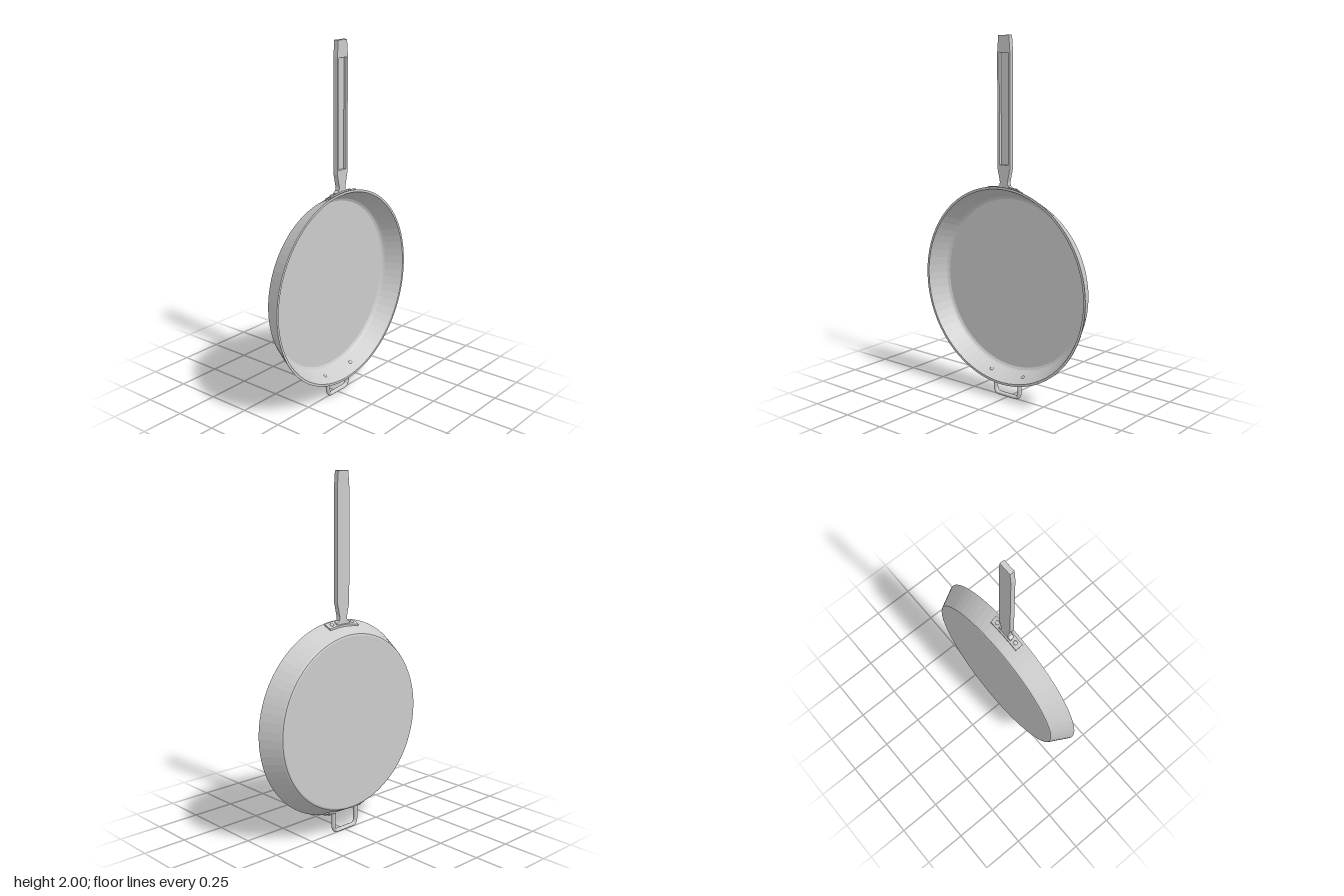
import * as THREE from 'three';

const CY = 0.645;                       // height of the pan centre
const wallR = (z) => 0.527 + 0.5 * z;   // outer wall radius at depth z

export function createModel() {
  const group = new THREE.Group();
  const mat = new THREE.MeshStandardMaterial({ color: 0xcccccc });
  const flat = new THREE.MeshStandardMaterial({ color: 0xcccccc, flatShading: true });
  const add = (name, geo, m = flat) => {
    const mesh = new THREE.Mesh(geo, m);
    mesh.name = name;
    group.add(mesh);
    return mesh;
  };

  // Pan body: outer wall, rim, inner wall and floor, turned to face +z
  const profile = [
    [0, -0.062], [0.484, -0.062], [0.493, -0.059], [0.499, -0.051], [0.556, 0.058], [0.556, 0.061],
    [0.543, 0.061], [0.496, -0.03], [0.489, -0.04], [0.476, -0.047], [0, -0.047],
  ].map(([r, z]) => new THREE.Vector2(r, z));
  const pan = add('panBody', new THREE.LatheGeometry(profile, 72));
  pan.rotation.x = Math.PI / 2;
  pan.position.y = CY;

  // Plate bent around the sloping wall; side is 1 at the top, -1 at the bottom
  const wallPlate = (name, side, x0, z0, w, d, t) => {
    const geo = new THREE.BoxGeometry(w, t, d, 10, 1, 2);
    const p = geo.attributes.position;
    for (let i = 0; i < p.count; i++) {
      const z = z0 + p.getZ(i), r = wallR(z) + p.getY(i) + t / 2 - 0.003;
      const a = (x0 + p.getX(i)) / 0.54;
      p.setXYZ(i, r * Math.sin(a), r * Math.cos(a), z);
    }
    geo.computeVertexNormals();
    const plate = add(name, geo);
    plate.position.y = CY;
    if (side < 0) plate.rotation.z = Math.PI;
  };

  // Domed rivet head standing square to the wall
  const rivet = (name, side, x, z, lift, radius) => {
    const a = x / 0.54, r = wallR(z) + lift;
    const head = add(name, new THREE.SphereGeometry(radius, 16, 10), mat);
    head.scale.y = 0.6;
    head.position.set(r * Math.sin(a), CY + side * r * Math.cos(a), z);
    head.quaternion.setFromUnitVectors(
      new THREE.Vector3(0, 1, 0),
      new THREE.Vector3(Math.sin(a), side * Math.cos(a), -0.5).normalize());
  };

  // Mounting plates and rivets
  wallPlate('handlePlate', 1, 0, 0.024, 0.21, 0.042, 0.012);
  for (const s of [-1, 1]) {
    rivet('handleRivet', 1, s * 0.073, 0.024, 0.009, 0.012);
    wallPlate('loopPlate', -1, s * 0.113, 0.004, 0.056, 0.04, 0.012);
    rivet('loopRivet', -1, s * 0.119, 0.004, 0.009, 0.011);
    rivet('innerRivet', -1, s * 0.119, 0.008, -0.015, 0.011);
  }

  // Long handle with a flared foot and a recess in the front
  const half = [
    [0.046, 1.184], [0.044, 1.192], [0.026, 1.204], [0.023, 1.225],
    [0.04, 1.3], [0.04, 1.912], [0.033, 1.996],
  ];
  const outline = [...half, ...half.map(([x, y]) => [-x, y]).reverse()];
  const toPoints = (list) => list.map(([x, y]) => new THREE.Vector2(x, y));
  const shape = new THREE.Shape(toPoints(outline));
  const [hx, y0, y1] = [0.032, 1.314, 1.912];
  shape.holes.push(new THREE.Path(toPoints([[-hx, y0], [-hx, y1], [hx, y1], [hx, y0]])));
  const bevel = 0.004;
  const handleGeo = new THREE.ExtrudeGeometry(shape, {
    depth: 0.021, bevelEnabled: true, bevelThickness: bevel, bevelSize: bevel, bevelSegments: 2,
  });
  add('handle', handleGeo).position.z = 0.0145;

  // Floor closing the back of the recess
  add('handleRecessFloor', new THREE.BoxGeometry(2 * hx, y1 - y0, 0.013))
    .position.set(0, (y0 + y1) / 2, 0.017);

  // Helper loop: rounded U of bar
  const v = (x, y) => new THREE.Vector3(x, y, 0);
  const path = new THREE.CurvePath();
  path.add(new THREE.LineCurve3(v(-0.085, 0.128), v(-0.085, 0.045)));
  path.add(new THREE.QuadraticBezierCurve3(v(-0.085, 0.045), v(-0.082, 0.011), v(-0.06, 0.011)));
  path.add(new THREE.LineCurve3(v(-0.06, 0.011), v(0.06, 0.011)));
  path.add(new THREE.QuadraticBezierCurve3(v(0.06, 0.011), v(0.082, 0.011), v(0.085, 0.045)));
  path.add(new THREE.LineCurve3(v(0.085, 0.045), v(0.085, 0.128)));
  const loop = add('helperLoop', new THREE.TubeGeometry(path, 60, 0.011, 12), mat);
  loop.scale.z = 1.2;
  loop.position.z = 0.004;

  return group;
}
